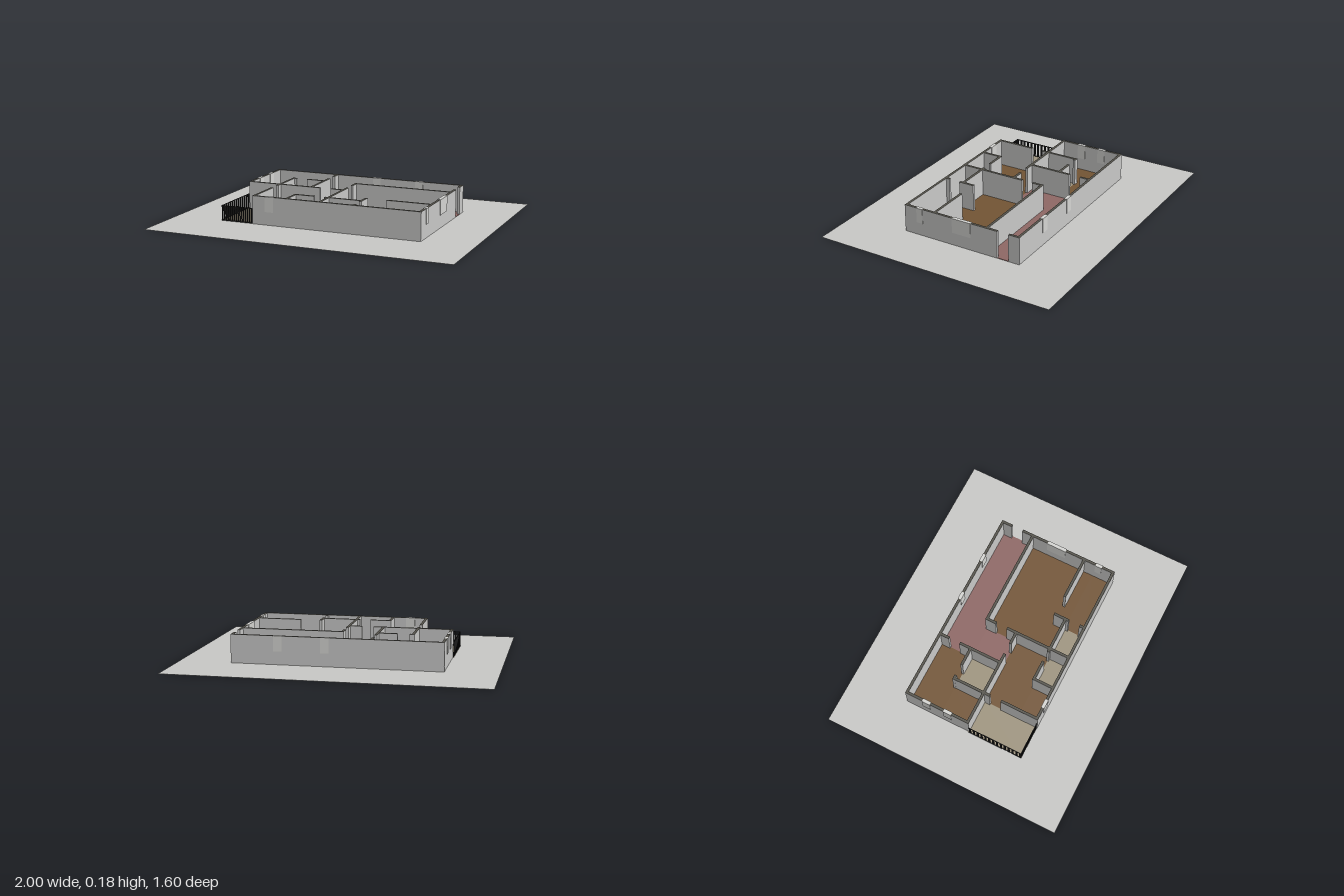
import * as THREE from 'three';

const H = 0.182;      // wall height
const T = 0.017;      // wall thickness
const BASE = 0.001;   // top of the ground sheet

const mat = (name, color) => {
  const m = new THREE.MeshStandardMaterial({ color });
  m.name = name;
  return m;
};

export function createModel() {
  const ground = mat('groundGrey', 0xc8c8c6);
  const wall = mat('wallGrey', 0xc9c9c8);
  const cap = mat('wallTopGrey', 0x55534b);
  const sill = mat('windowGrey', 0xd6d6d3);
  const wood = mat('woodBrown', 0x735535);
  const tile = mat('tileTan', 0x9e947e);
  const hall = mat('hallPink', 0x8f6865);
  const iron = mat('railBlack', 0x1c1c1c);
  const wallMats = [wall, wall, cap, wall, wall, wall];

  const model = new THREE.Group();
  model.name = 'floorPlanHouse';
  const group = (name) => {
    const g = new THREE.Group();
    g.name = name;
    model.add(g);
    return g;
  };

  // Box given by its lower and upper corners
  const box = (parent, name, material, x0, x1, y0, y1, z0, z1) => {
    const mesh = new THREE.Mesh(new THREE.BoxGeometry(x1 - x0, y1 - y0, z1 - z0), material);
    mesh.position.set((x0 + x1) / 2, (y0 + y1) / 2, (z0 + z1) / 2);
    mesh.name = name;
    parent.add(mesh);
  };

  box(model, 'ground', ground, -1, 1, 0, BASE, -0.8, 0.8);

  // Floors: material, x range, z range
  const floors = group('floors');
  [
    ['bedroomFloor', wood, -0.66, -0.22, -0.40, -0.182],
    ['bedroomFloorSide', wood, -0.66, -0.443, -0.182, 0.026],
    ['closetFloor', tile, -0.443, -0.22, -0.182, 0.026],
    ['hallFloor', hall, -0.22, 0.666, -0.40, -0.182],
    ['hallFloorSide', hall, -0.22, 0.005, -0.182, 0.026],
    ['livingFloor', wood, 0.005, 0.66, -0.182, 0.265],
    ['livingFloorCorner', wood, 0.229, 0.66, 0.265, 0.40],
    ['studyFloor', wood, -0.443, 0.005, 0.026, 0.265],
    ['studyFloorCorner', wood, -0.443, -0.22, 0.265, 0.40],
    ['bathFloor', tile, -0.22, 0.229, 0.265, 0.40],
    ['balconyFloor', tile, -0.672, -0.443, 0.026, 0.404],
  ].forEach(([name, m, x0, x1, z0, z1]) => box(floors, name, m, x0, x1, BASE, 0.004, z0, z1));

  // Walls along x: z position, then pairs of start and end between the doorways
  const walls = group('walls');
  const alongX = [
    [-0.402, -0.666, 0.666],
    [0.398, -0.452, 0.666],
    [-0.182, -0.452, -0.42, -0.345, -0.212],
    [-0.182, 0, 0.66],
    [0.026, -0.666, -0.155, -0.08, 0.01],
    [0.265, -0.228, -0.09, -0.02, 0.237],
    [0.192, 0.365, 0.66],
  ];
  // Walls along z: x position, then the same pairs
  const alongZ = [
    [-0.658, -0.41, 0.034],
    [0.658, -0.41, -0.335, -0.258, 0.406],
    [-0.22, -0.40, -0.335, -0.26, 0.034],
    [-0.443, -0.19, 0.07, 0.147, 0.406],
    [0.005, -0.19, -0.115, -0.04, 0.40],
    [-0.22, 0.257, 0.40],
    [0.229, 0.185, 0.29, 0.365, 0.40],
  ];
  const h = T / 2;
  for (const [z, ...s] of alongX)
    for (let i = 0; i < s.length; i += 2)
      box(walls, 'wall', wallMats, s[i], s[i + 1], BASE, H, z - h, z + h);
  for (const [x, ...s] of alongZ)
    for (let i = 0; i < s.length; i += 2)
      box(walls, 'wall', wallMats, x - h, x + h, BASE, H, s[i], s[i + 1]);

  // Windows: slightly thicker than the walls they sit in
  const windows = group('windows');
  const w = h + 0.003, y0 = 0.085, y1 = H + 0.001;
  [[-0.402, 0.043, 0.096], [-0.402, 0.34, 0.394], [0.398, -0.366, -0.307]]
    .forEach(([z, a, b]) => box(windows, 'window', sill, a, b, y0, y1, z - w, z + w));
  [[-0.658, -0.29, -0.237], [-0.658, -0.142, -0.088], [0.658, -0.072, 0.06], [0.658, 0.275, 0.319]]
    .forEach(([x, a, b]) => box(windows, 'window', sill, x - w, x + w, y0, y1, a, b));

  // Balcony railing: bars with a thin rail above and below
  const railing = group('balconyRailing');
  const rx = -0.672, rz = 0.404, d = 0.005, top = 0.1;
  for (const y of [BASE, top - 0.005]) {
    box(railing, 'frontRail', iron, rx, -0.452, y, y + 0.005, rz - d, rz);
    box(railing, 'sideRail', iron, rx, rx + d, y, y + 0.005, 0.034, rz);
  }
  for (let i = 0; i < 16; i++) {
    const x = rx + i * 0.0138;
    box(railing, 'frontBar', iron, x, x + 0.008, BASE, top, rz - d, rz);
  }
  for (let i = 0; i < 14; i++) {
    const z = rz - i * 0.0272;
    box(railing, 'sideBar', iron, rx, rx + d, BASE, top, z - 0.013, z);
  }
  return model;
}
